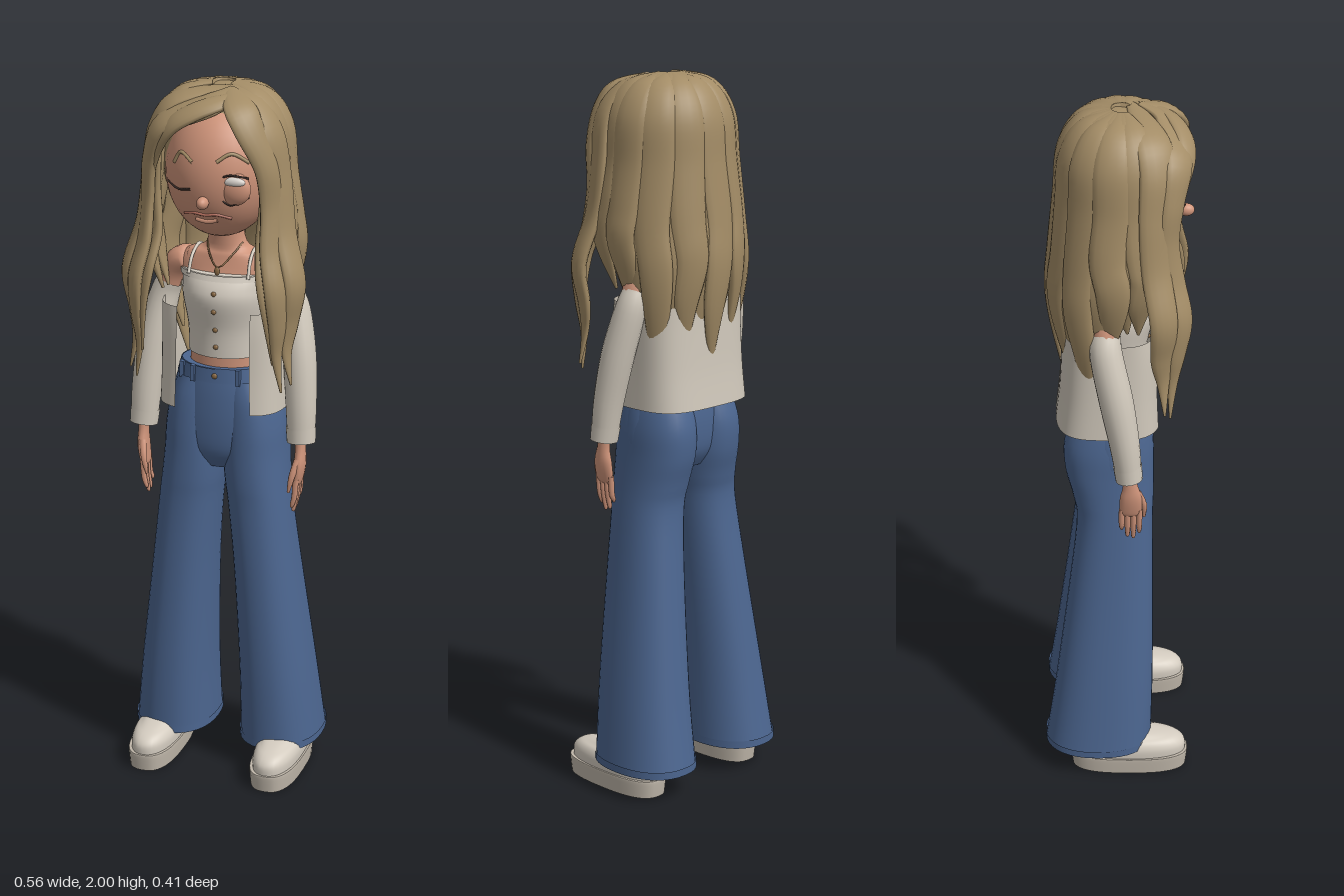
import * as THREE from 'three';

const mat = (name, color) => {
  const m = new THREE.MeshStandardMaterial({ color, side: THREE.DoubleSide });
  m.name = name;
  return m;
};
const V = (x, y, z) => new THREE.Vector3(x, y, z);

// Catmull-Rom interpolation of rows of numbers
function smooth(rows, n) {
  const out = [], last = rows.length - 1;
  for (let i = 0; i < last; i++) {
    const [a, b, c, d] = [rows[Math.max(i - 1, 0)], rows[i], rows[i + 1], rows[Math.min(i + 2, last)]];
    for (let k = 0; k < n; k++) {
      const t = k / n;
      out.push(b.map((v, j) => {
        const cubic = 3 * (v - c[j]) + d[j] - a[j];
        const square = 2 * a[j] - 5 * v + 4 * c[j] - d[j];
        return v + 0.5 * t * (c[j] - a[j] + t * (square + t * cubic));
      }));
    }
  }
  out.push(rows[last]);
  return out;
}

// Joins rings of points (counter-clockwise about the direction of travel)
function skin(rings, closed = true, caps = true) {
  const n = rings[0].length, pos = [], idx = [];
  rings.forEach(r => r.forEach(p => pos.push(p.x, p.y, p.z)));
  for (let i = 0; i < rings.length - 1; i++)
    for (let j = 0; j < (closed ? n : n - 1); j++) {
      const k = (j + 1) % n, a = i * n + j, b = i * n + k;
      idx.push(a, b, b + n, a, b + n, a + n);
    }
  if (caps) [0, rings.length - 1].forEach((i, end) => {
    const c = rings[i].reduce((s, p) => s.add(p), V(0, 0, 0)).divideScalar(n), base = pos.length / 3;
    [c, ...rings[i]].forEach(p => pos.push(p.x, p.y, p.z));
    for (let j = 0; j < n; j++) {
      const a = base + 1 + j, b = base + 1 + (j + 1) % n;
      if (end) idx.push(base, a, b);
      else idx.push(base, b, a);
    }
  });
  const g = new THREE.BufferGeometry();
  g.setAttribute('position', new THREE.Float32BufferAttribute(pos, 3));
  g.setIndex(idx);
  g.computeVertexNormals();
  return g;
}

// Horizontal rings [y, centreX, radiusX, centreZ, radiusZ], bottom to top; gap leaves the front open
function loft(rows, { caps = true, power = 1, gap = 0, seg = 36 } = {}) {
  const sp = v => Math.sign(v) * Math.abs(v) ** power;
  const rings = smooth(rows, 5).map(([y, cx, rx, cz, rz]) =>
    Array.from({ length: gap ? seg + 1 : seg }, (_, j) => {
      const a = gap + (j / seg) * (Math.PI * 2 - 2 * gap);
      return V(cx + rx * sp(Math.sin(a)), y, cz + rz * sp(Math.cos(a)));
    }));
  return skin(rings, !gap, caps && !gap);
}

// Flattened tube along rows [x, y, z, halfWidth, halfThickness]; outward gives the thin direction
function sweep(rows, outward, { seg = 12, sub = 5, caps = true } = {}) {
  const pts = smooth(rows, sub);
  const rings = pts.map((r, i) => {
    const p = V(r[0], r[1], r[2]), a = pts[Math.max(i - 1, 0)], b = pts[Math.min(i + 1, pts.length - 1)];
    const T = V(b[0] - a[0], b[1] - a[1], b[2] - a[2]).normalize();
    const N = outward(p);
    N.addScaledVector(T, -N.dot(T)).normalize();
    const W = N.clone().cross(T);
    return Array.from({ length: seg }, (_, j) => {
      const t = j / seg * Math.PI * 2;
      return p.clone().addScaledVector(W, Math.max(r[3], 0.001) * Math.cos(t)).addScaledVector(N, Math.max(r[4], 0.001) * Math.sin(t));
    });
  });
  return skin(rings, true, caps);
}

export function createModel() {
  const root = new THREE.Group();
  root.name = 'woman';
  const M = {
    hair: mat('dark blonde hair', 0xa38c66), skin: mat('skin', 0xcf947a), denim: mat('denim', 0x4c6690),
    knit: mat('cream cardigan', 0xcfc7ba), top: mat('ivory top', 0xd4ccc0), sole: mat('sole', 0xc0b7aa),
    dark: mat('dark lash', 0x3a2c28), lip: mat('lip', 0xb5705f), gold: mat('bronze', 0x8a6a45), eye: mat('eye white', 0xd8d2cc),
  };
  const add = (name, geo, m) => {
    const mesh = new THREE.Mesh(geo, m);
    mesh.name = name;
    root.add(mesh);
  };
  const ball = (name, m, x, y, z, rx, ry, rz) =>
    add(name, new THREE.SphereGeometry(1, 32, 24).scale(rx, ry, rz).translate(x, y, z), m);
  const line = (name, pts, r, m) =>
    add(name, new THREE.TubeGeometry(new THREE.CatmullRomCurve3(pts), 16, r, 6), m);
  const alongX = () => V(1, 0, 0);

  // Torso, neck and head
  add('torso', loft([[1.15, 0, 0.11, -0.01, 0.08], [1.25, 0, 0.1, -0.01, 0.08], [1.4, 0, 0.112, -0.015, 0.085],
    [1.48, 0, 0.14, -0.02, 0.065], [1.52, 0, 0.115, -0.02, 0.055], [1.55, 0, 0.055, -0.015, 0.045], [1.66, 0, 0.045, 0, 0.045]]), M.skin);
  ball('head', M.skin, 0, 1.765, 0.03, 0.15, 0.185, 0.15);
  const faceZ = (x, y) => 0.03 + 0.15 * Math.sqrt(Math.max(0, 1 - (x / 0.15) ** 2 - ((y - 1.765) / 0.185) ** 2));
  const onFace = pts => pts.map(([x, y]) => V(x, y, faceZ(x, y) + 0.001));
  ball('nose', M.skin, 0, 1.705, 0.18, 0.016, 0.017, 0.022);
  line('mouth', onFace([[-0.065, 1.662], [-0.03, 1.67], [0, 1.667], [0.03, 1.67], [0.065, 1.658]]), 0.004, M.lip);
  line('lowerLip', onFace([[-0.03, 1.652], [0, 1.647], [0.03, 1.652]]), 0.006, M.skin);
  line('closedEye', onFace([[-0.115, 1.742], [-0.075, 1.732], [-0.035, 1.738]]), 0.003, M.dark);
  line('rightBrow', onFace([[-0.09, 1.8], [-0.07, 1.83], [-0.03, 1.81]]), 0.005, M.hair);
  line('leftBrow', onFace([[0.035, 1.815], [0.07, 1.835], [0.11, 1.81]]), 0.005, M.hair);
  ball('leftEyelid', M.skin, 0.075, 1.742, 0.145, 0.046, 0.045, 0.025);
  ball('leftEye', M.eye, 0.077, 1.763, 0.158, 0.033, 0.014, 0.013);
  line('leftLash', [V(0.035, 1.768, 0.163), V(0.07, 1.782, 0.168), V(0.115, 1.772, 0.143)], 0.003, M.dark);
  line('leftLowerLid', [V(0.034, 1.725, 0.163), V(0.07, 1.7, 0.16), V(0.116, 1.72, 0.14)], 0.002, M.dark);

  // Crop top with trim and buttons, necklace
  add('cropTop', loft([[1.243, 0, 0.105, -0.01, 0.088], [1.32, 0, 0.107, -0.01, 0.093], [1.4, 0, 0.12, -0.008, 0.108],
    [1.44, 0, 0.121, -0.01, 0.103], [1.475, 0, 0.125, -0.015, 0.085]]), M.top);
  add('topTrim', loft([[1.46, 0, 0.129, -0.013, 0.095], [1.475, 0, 0.131, -0.015, 0.09]], { caps: false }), M.top);
  for (const [y, z] of [[1.275, 0.08], [1.325, 0.084], [1.38, 0.097], [1.43, 0.096]])
    ball('topButton', M.gold, 0, y, z, 0.007, 0.007, 0.005);
  line('necklace', [V(-0.05, 1.555, 0), V(-0.035, 1.53, 0.035), V(0, 1.495, 0.062), V(0.035, 1.53, 0.035), V(0.05, 1.555, 0)], 0.0025, M.gold);
  ball('pendant', M.gold, 0, 1.487, 0.068, 0.008, 0.012, 0.005);

  // Trousers: hips, waistband, button
  add('hips', loft([[0.92, 0, 0.1, -0.015, 0.08], [0.97, 0, 0.165, -0.015, 0.108], [1.05, 0, 0.168, -0.015, 0.115],
    [1.14, 0, 0.148, -0.012, 0.108], [1.215, 0, 0.125, -0.01, 0.095]]), M.denim);
  add('waistband', loft([[1.175, 0, 0.139, -0.01, 0.103], [1.215, 0, 0.128, -0.01, 0.099]], { caps: false }), M.denim);
  ball('trouserButton', M.gold, 0, 1.195, 0.09, 0.008, 0.008, 0.005);

  for (const s of [1, -1]) {
    const side = s > 0 ? 'left' : 'right';
    line(side + 'Strap', [V(s * 0.085, 1.47, 0.06), V(s * 0.083, 1.515, 0.035), V(s * 0.08, 1.535, -0.02), V(s * 0.08, 1.46, -0.09)], 0.005, M.top);
    for (const [x, z] of [[0.065, 0.081], [0.105, 0.057]])
      add(side + 'BeltLoop', new THREE.BoxGeometry(0.012, 0.045, 0.016).translate(s * x, 1.195, z), M.denim);

    // Flared leg with hem
    add(side + 'Leg', loft([[0.085, s * 0.16, 0.116, -0.055, 0.152], [0.3, s * 0.148, 0.104, -0.037, 0.138], [0.6, s * 0.123, 0.091, -0.018, 0.118],
      [0.8, s * 0.103, 0.087, -0.008, 0.106], [0.88, s * 0.093, 0.088, -0.012, 0.112], [0.96, s * 0.086, 0.088, -0.022, 0.122],
      [1.04, s * 0.084, 0.084, -0.024, 0.123], [1.12, s * 0.078, 0.073, -0.015, 0.108], [1.18, s * 0.065, 0.06, -0.01, 0.09]], { caps: false, power: 0.88 }), M.denim);
    add(side + 'Hem', loft([[0.078, s * 0.16, 0.119, -0.055, 0.154], [0.1, s * 0.16, 0.119, -0.055, 0.154]], { caps: false, power: 0.88 }), M.denim);

    // Platform shoe
    add(side + 'Sole', loft([[0, s * 0.185, 0.067, 0.034, 0.165], [0.045, s * 0.185, 0.07, 0.034, 0.17], [0.05, s * 0.185, 0.068, 0.034, 0.167]], { power: 0.75 }), M.sole);
    add(side + 'Shoe', loft([[0.048, s * 0.185, 0.064, 0.034, 0.163], [0.075, s * 0.185, 0.064, 0.033, 0.162], [0.095, s * 0.185, 0.056, 0.03, 0.145],
      [0.107, s * 0.183, 0.042, 0.02, 0.115], [0.13, s * 0.178, 0.034, -0.03, 0.055], [0.2, s * 0.17, 0.034, -0.04, 0.04]], { power: 0.85 }), M.top);

    // Bare shoulder, sleeve and cuff
    add(side + 'UpperArm', sweep([[s * 0.09, 1.49, -0.02, 0.04, 0.03], [s * 0.135, 1.485, -0.022, 0.04, 0.036], [s * 0.17, 1.43, -0.03, 0.036, 0.034], [s * 0.195, 1.33, -0.03, 0.034, 0.032]], alongX), M.skin);
    add(side + 'Sleeve', sweep([[s * 0.17, 1.42, -0.032, 0.04, 0.036], [s * 0.19, 1.37, -0.03, 0.044, 0.042], [s * 0.212, 1.25, -0.005, 0.046, 0.046],
      [s * 0.225, 1.12, 0.018, 0.041, 0.043], [s * 0.23, 1.02, 0.03, 0.035, 0.038]], alongX, { caps: false, seg: 18 }), M.knit);
    add(side + 'Cuff', sweep([[s * 0.228, 1.055, 0.026, 0.039, 0.042], [s * 0.231, 1.012, 0.031, 0.037, 0.04]], alongX, { caps: false, seg: 18 }), M.knit);

    // Hand: palm, four fingers, thumb
    add(side + 'Hand', sweep([[s * 0.225, 1.09, 0.022, 0.02, 0.02], [s * 0.23, 1.0, 0.033, 0.019, 0.015], [s * 0.23, 0.95, 0.036, 0.03, 0.016], [s * 0.225, 0.905, 0.035, 0.03, 0.013], [s * 0.223, 0.89, 0.035, 0.024, 0.008]], alongX), M.skin);
    [0.825, 0.808, 0.813, 0.835].forEach((tip, f) => {
      const z = 0.059 - f * 0.016;
      add(side + 'Finger', sweep([[s * 0.225, 0.91, z, 0.008, 0.009], [s * 0.222, 0.86, z, 0.008, 0.008], [s * 0.215, tip + 0.008, z, 0.006, 0.006], [s * 0.214, tip, z, 0.002, 0.002]], alongX, { seg: 8, sub: 3 }), M.skin);
    });
    add(side + 'Thumb', sweep([[s * 0.227, 0.965, 0.052, 0.012, 0.01], [s * 0.217, 0.92, 0.071, 0.009, 0.009], [s * 0.208, 0.875, 0.072, 0.004, 0.004]], alongX, { seg: 8, sub: 3 }), M.skin);
  }

  // Open cardigan body
  add('cardigan', loft([[1.1, 0, 0.178, -0.025, 0.145], [1.2, 0, 0.174, -0.022, 0.137], [1.32, 0, 0.172, -0.02, 0.132], [1.385, 0, 0.172, -0.022, 0.128]],
    { power: 0.6, gap: 0.45, seg: 60 }), M.knit);
  add('cardiganBack', loft([[1.38, 0, 0.172, -0.022, 0.128], [1.43, 0, 0.165, -0.025, 0.11], [1.47, 0, 0.145, -0.025, 0.085]],
    { power: 0.7, gap: 1.7, seg: 40 }), M.knit);

  // Hair: inner cap, then locks falling from the crown
  ball('hairCap', M.hair, 0, 1.79, -0.01, 0.178, 0.2, 0.15);
  const fromAxis = p => V(p.x, Math.max(0, (p.y - 1.75) * 1.2), p.z - 0.01);
  const lock = (name, rows) => add(name, sweep(rows, fromAxis, { seg: 14, sub: 6 }), M.hair);
  const profile = [[0.03, 1.99, 0.014, 0.006], [0.115, 1.962, 0.04, 0.016], [0.165, 1.885, 0.053, 0.021], [0.18, 1.76, 0.052, 0.02],
    [0.198, 1.61, 0.05, 0.02], [0.21, 1.5, 0.046, 0.018], [0.198, 1.38, 0.034, 0.015], [0.168, 1.22, 0.004, 0.004]];
  const fall = (name, deg, tip, scale, phase) => lock(name, profile.map(([r, y, w, t], i) => {
    const wave = i > 3 ? 0.05 * Math.sin(i * 1.9 + phase) : 0, a = deg * Math.PI / 180 + wave;
    const yy = y > 1.76 ? y : 1.76 - (1.76 - y) * (1.76 - tip) / 0.54;
    return [r * scale * Math.sin(a), yy, 0.01 + r * scale * 0.9 * Math.cos(a), w, t];
  }));
  for (let k = -4; k <= 4; k++) {
    fall('hairLock', 180 + 27 * k, [1.2, 1.24, 1.19, 1.36, 1.42][Math.abs(k)], 1, k * 1.3);
    if (k < 4) fall('underLock', 193.5 + 27 * k, [1.27, 1.22, 1.28, 1.42][Math.floor(Math.abs(k + 0.5))], 0.93, k * 2.1);
  }

  // Face-framing locks, parted slightly to the left
  const part = 0.045;
  for (const s of [1, -1]) {
    lock('fringeLock', [[part - s * 0.005, 1.985, 0.06, 0.02, 0.006], [part + s * 0.04, 1.955, 0.13, 0.045, 0.014], [s * 0.12, 1.9, 0.152, 0.045, 0.018],
      [s * 0.162, 1.8, 0.14, 0.036, 0.018], [s * 0.172, 1.69, 0.13, 0.034, 0.016], [s * 0.178, 1.58, 0.145, 0.036, 0.017],
      [s * 0.198, 1.48, 0.165, 0.036, 0.017], [s * 0.2, 1.38, 0.155, 0.028, 0.015], [s * 0.195, 1.29, 0.145, 0.016, 0.01], [s * 0.207, 1.19, 0.14, 0.003, 0.003]]);
    lock('sideLock', [[part, 1.985, 0.04, 0.02, 0.006], [s * 0.1, 1.955, 0.085, 0.05, 0.016], [s * 0.158, 1.88, 0.1, 0.05, 0.02], [s * 0.182, 1.76, 0.095, 0.046, 0.018],
      [s * 0.2, 1.62, 0.1, 0.042, 0.018], [s * 0.235, 1.49, 0.12, 0.04, 0.018], [s * 0.222, 1.38, 0.115, 0.032, 0.015], [s * 0.215, 1.3, 0.12, 0.018, 0.01], [s * 0.23, 1.21, 0.125, 0.003, 0.003]]);
    lock('innerLock', [[s * 0.14, 1.85, 0.13, 0.01, 0.008], [s * 0.155, 1.72, 0.115, 0.022, 0.014], [s * 0.148, 1.6, 0.125, 0.022, 0.014],
      [s * 0.163, 1.5, 0.16, 0.024, 0.013], [s * 0.178, 1.4, 0.165, 0.018, 0.01], [s * 0.185, 1.27, 0.15, 0.003, 0.003]]);
  }
  // Sweep of fringe across the forehead
  lock('frontSweep', [[0.07, 1.978, 0.07, 0.01, 0.006], [0.03, 1.963, 0.13, 0.028, 0.012], [-0.03, 1.94, 0.165, 0.032, 0.014],
    [-0.09, 1.9, 0.175, 0.03, 0.014], [-0.135, 1.83, 0.16, 0.022, 0.012], [-0.16, 1.74, 0.14, 0.006, 0.005]]);
  return root;
}
